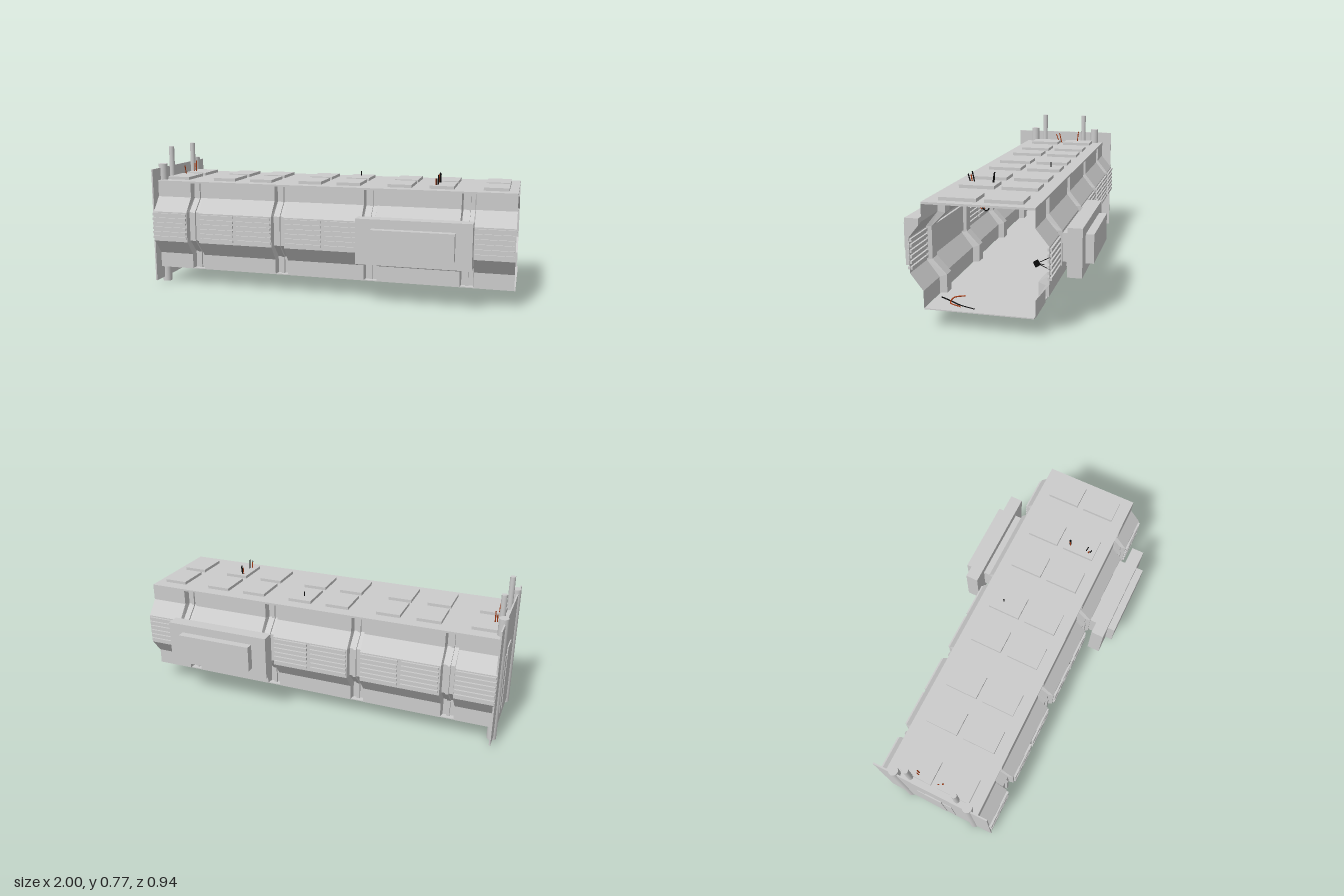
import * as THREE from 'three';

const grey = new THREE.MeshStandardMaterial({ color: 0xcccccc, flatShading: true, side: THREE.DoubleSide });
const smooth = new THREE.MeshStandardMaterial({ color: 0xcccccc });
const black = new THREE.MeshStandardMaterial({ color: 0x0a0a0a });
const orange = new THREE.MeshStandardMaterial({ color: 0xa83c14 });

const RIBS = [-0.745, -0.248, 0.248, 0.755];
const X0 = -0.985, X1 = 0.995;

// wall cross-sections as [z, y]: full panel, and the rib set in towards the corridor
const PANEL = [[0.26, 0.095], [0.26, 0.178], [0.322, 0.258], [0.322, 0.425], [0.26, 0.502], [0.26, 0.582]];
const RIB = [[0.225, 0.095], [0.225, 0.19], [0.295, 0.265], [0.295, 0.425], [0.225, 0.495], [0.225, 0.582]];

function add(parent, name, geometry, material = grey) {
  const mesh = new THREE.Mesh(geometry, material);
  mesh.name = name;
  parent.add(mesh);
  return mesh;
}

// box given by its minimum and maximum on each axis
function box(parent, name, x0, x1, y0, y1, z0, z1, material = grey) {
  const g = new THREE.BoxGeometry(x1 - x0, y1 - y0, Math.abs(z1 - z0));
  g.translate((x0 + x1) / 2, (y0 + y1) / 2, (z0 + z1) / 2);
  return add(parent, name, g, material);
}

function tube(parent, name, points, radius, material, segments = 32, sides = 6) {
  const curve = new THREE.CatmullRomCurve3(points.map(p => new THREE.Vector3(...p)));
  return add(parent, name, new THREE.TubeGeometry(curve, segments, radius, sides), material);
}

// wall sheet lofted along x, stepping inward at every rib
function wallGeometry(side) {
  const stations = [[X0, PANEL]];
  for (const c of RIBS) {
    stations.push([c - 0.036, PANEL], [c - 0.03, RIB], [c + 0.03, RIB], [c + 0.036, PANEL]);
  }
  stations.push([X1, PANEL]);
  const pos = [], index = [], n = PANEL.length;
  stations.forEach(([x, profile], i) => {
    profile.forEach(([z, y], j) => {
      pos.push(x, y, z * side);
      if (i && j) {
        const d = i * n + j, c = d - 1, b = d - n, a = b - 1;
        if (side > 0) index.push(a, c, d, a, d, b);
        else index.push(a, d, c, a, b, d);
      }
    });
  });
  const g = new THREE.BufferGeometry();
  g.setAttribute('position', new THREE.Float32BufferAttribute(pos, 3));
  g.setIndex(index);
  const flat = g.toNonIndexed();
  flat.computeVertexNormals();
  return flat;
}

function buildSide(side) {
  const g = new THREE.Group();
  g.name = side > 0 ? 'frontWall' : 'backWall';
  add(g, 'ribbedWall', wallGeometry(side));

  // raised strips along the middle of each rib groove
  for (const c of RIBS) {
    const s = new THREE.Shape();
    RIB.forEach(([z, y], i) => (i ? s.lineTo(z, y) : s.moveTo(z, y)));
    [...RIB].reverse().forEach(([z, y]) => s.lineTo(z + 0.012, y));
    const strip = new THREE.ExtrudeGeometry(s, { depth: 0.016, bevelEnabled: false });
    strip.rotateY(-Math.PI / 2);
    strip.translate(c + 0.008, 0, 0);
    if (side < 0) strip.rotateY(Math.PI).translate(2 * c, 0, 0);
    add(g, 'ribStrip', strip);
  }

  // ventilation slats
  for (const [a, b] of [[-0.985, -0.785], [-0.7, -0.505], [-0.485, -0.288], [-0.205, -0.005], [0.015, 0.207], [0.795, 0.99]]) {
    for (let i = 0; i < 6; i++) {
      const y = 0.28 + i * 0.0262;
      box(g, 'ventSlat', a, b, y - 0.007, y + 0.007, side * 0.312, side * 0.332);
    }
  }

  // projecting bay
  box(g, 'bayCore', 0.29, 0.71, 0.273, 0.413, side * 0.31, side * 0.47);
  box(g, 'bayFrame', 0.207, 0.793, 0.225, 0.46, side * 0.36, side * 0.43);
  return g;
}

function buildEnd() {
  const g = new THREE.Group();
  g.name = 'endWall';
  box(g, 'endPlate', -0.988, -0.98, 0.025, 0.66, -0.318, 0.318);

  // stepped doorway slab, showing on both faces of the plate
  box(g, 'doorSurround', -0.991, -0.968, 0.092, 0.42, -0.1, 0.1);
  box(g, 'doorPanel', -0.994, -0.958, 0.092, 0.457, -0.048, 0.048);
  for (const s of [-1, 1]) box(g, 'doorTrim', -0.958, -0.954, 0.095, 0.455, s * 0.044, s * 0.048);
  const knob = add(g, 'doorPorthole', new THREE.SphereGeometry(0.03, 24, 12), smooth);
  knob.scale.x = 0.4;
  knob.position.set(-0.955, 0.31, 0);

  for (const s of [-1, 1]) {
    const post = add(g, 'verticalPipe', new THREE.CylinderGeometry(0.025, 0.025, 0.682, 24), smooth);
    post.position.set(-0.975, 0.341, s * 0.205);

    // thin pipe turning inward to the door
    const x = -0.957, path = new THREE.CurvePath();
    const v = (y, z) => new THREE.Vector3(x, y, s * z);
    path.add(new THREE.LineCurve3(v(0.775, 0.132), v(0.36, 0.132)));
    path.add(new THREE.QuadraticBezierCurve3(v(0.36, 0.132), v(0.318, 0.132), v(0.318, 0.09)));
    add(g, 'bentPipe', new THREE.TubeGeometry(path, 60, 0.015, 14), smooth);
    const cap = add(g, 'bentPipeCap', new THREE.CircleGeometry(0.015, 14), smooth);
    cap.rotation.x = -Math.PI / 2;
    cap.position.set(x, 0.775, s * 0.132);
  }
  return g;
}

function buildCables() {
  const g = new THREE.Group();
  g.name = 'cables';
  // hanging loops: x, then [z, y] points
  const loops = [
    [0.58, black, [[0.178, 0.645], [0.14, 0.53], [0.085, 0.462], [0.055, 0.54], [0.042, 0.66]]],
    [0.585, black, [[0.155, 0.66], [0.125, 0.54], [0.085, 0.48], [0.06, 0.55], [0.043, 0.655]]],
    [0.575, orange, [[0.165, 0.642], [0.145, 0.54], [0.11, 0.47], [0.065, 0.52], [0.045, 0.65]]],
    [-0.92, orange, [[0.048, 0.65], [0.015, 0.57], [-0.04, 0.52], [-0.085, 0.56], [-0.105, 0.67]]],
    [-0.93, orange, [[0.028, 0.655], [0.005, 0.58], [-0.04, 0.548], [-0.085, 0.58], [-0.103, 0.655]]],
    [0.105, black, [[-0.135, 0.635], [-0.133, 0.49], [-0.134, 0.34]]],
  ];
  for (const [x, m, pts] of loops) tube(g, 'hangingCable', pts.map(([z, y]) => [x, y, z]), 0.003, m);

  // loose cables on the floor
  tube(g, 'floorCable', [[0.9, 0.12, 0.21], [0.91, 0.108, 0.16], [0.93, 0.1, 0.11], [0.96, 0.098, 0.03]], 0.003, black);
  tube(g, 'floorCable', [[0.88, 0.128, 0.1], [0.9, 0.122, 0.15], [0.92, 0.105, 0.16], [0.95, 0.1, 0.1]], 0.003, orange);

  // toppled work lamp with wire legs
  const head = add(g, 'lampHead', new THREE.BoxGeometry(0.03, 0.03, 0.022), black);
  head.position.set(0.3, 0.118, -0.102);
  head.rotation.x = 0.5;
  for (const end of [[0.3, 0.16, -0.18], [0.34, 0.1, -0.19], [0.26, 0.1, -0.135]]) {
    tube(g, 'lampLeg', [[0.3, 0.12, -0.105], end], 0.002, black, 2, 5);
  }
  return g;
}

export function createModel() {
  const model = new THREE.Group();
  model.name = 'corridor';
  model.add(buildSide(1), buildSide(-1), buildEnd(), buildCables());

  // floor with seams underneath
  box(model, 'floor', X0, 1, 0.093, 0.098, -0.255, 0.255);
  box(model, 'floorSeam', X0, X1, 0.0905, 0.093, -0.004, 0.004);
  for (const c of RIBS) box(model, 'floorCrossSeam', c - 0.004, c + 0.004, 0.0905, 0.093, -0.05, 0.05);

  // roof with its paired raised panels
  box(model, 'roof', X0, X1, 0.582, 0.592, -0.26, 0.26);
  for (const x of [-0.885, -0.605, -0.388, -0.105, 0.11, 0.387, 0.608, 0.885]) {
    for (const s of [-1, 1]) box(model, 'roofPanel', x - 0.064, x + 0.064, 0.59, 0.608, s * 0.019, s * 0.195);
  }
  return model;
}
